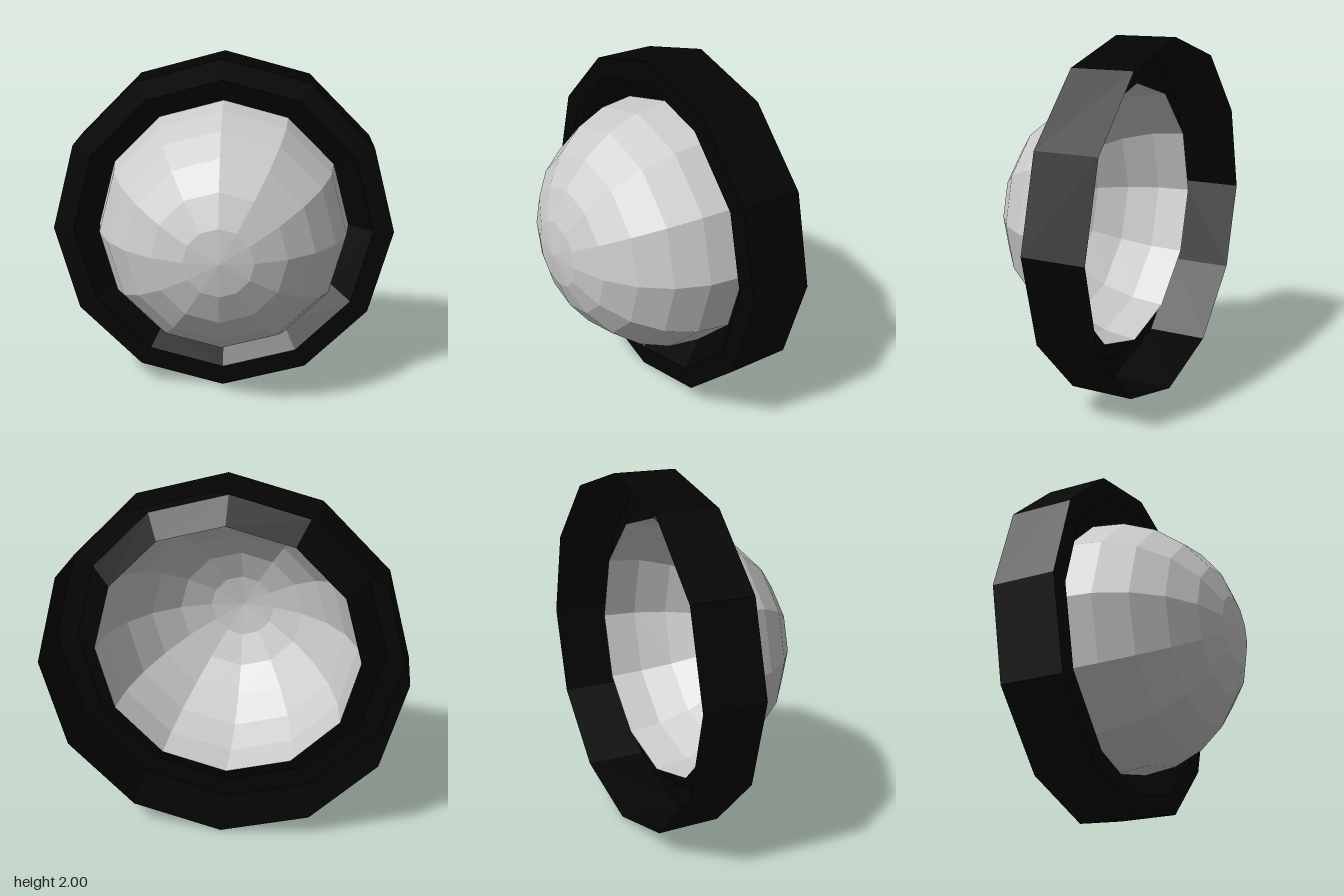
import * as THREE from 'three';

const SIDES = 12;
const DOME_RADIUS = 0.745;
const DOME_BASE = -0.26;

function addPart(group, name, geometry, color) {
  const material = new THREE.MeshStandardMaterial({ color, flatShading: true, side: THREE.DoubleSide });
  const mesh = new THREE.Mesh(geometry, material);
  mesh.name = name;
  group.add(mesh);
}

export function createModel() {
  const model = new THREE.Group();
  model.name = 'domeLamp';

  // Hollow faceted half sphere, bulging to the front and open at the back
  const dome = new THREE.SphereGeometry(DOME_RADIUS, SIDES, 6, 0, Math.PI * 2, 0, Math.PI / 2);
  dome.rotateX(Math.PI / 2);
  dome.translate(0, 1, DOME_BASE);
  addPart(model, 'dome', dome, 0xcccccc);

  // Rim shell: outer wall, flat front face, bevel running in to the dome
  const profile = [[1, -0.485], [1, -0.13], [0.88, -0.13], [DOME_RADIUS, DOME_BASE]]
    .map(([r, z]) => new THREE.Vector2(r, z));
  const rim = new THREE.LatheGeometry(profile, SIDES);
  rim.rotateX(Math.PI / 2);
  rim.translate(0, 1, 0);
  addPart(model, 'rim', rim, 0x040404);

  return model;
}
